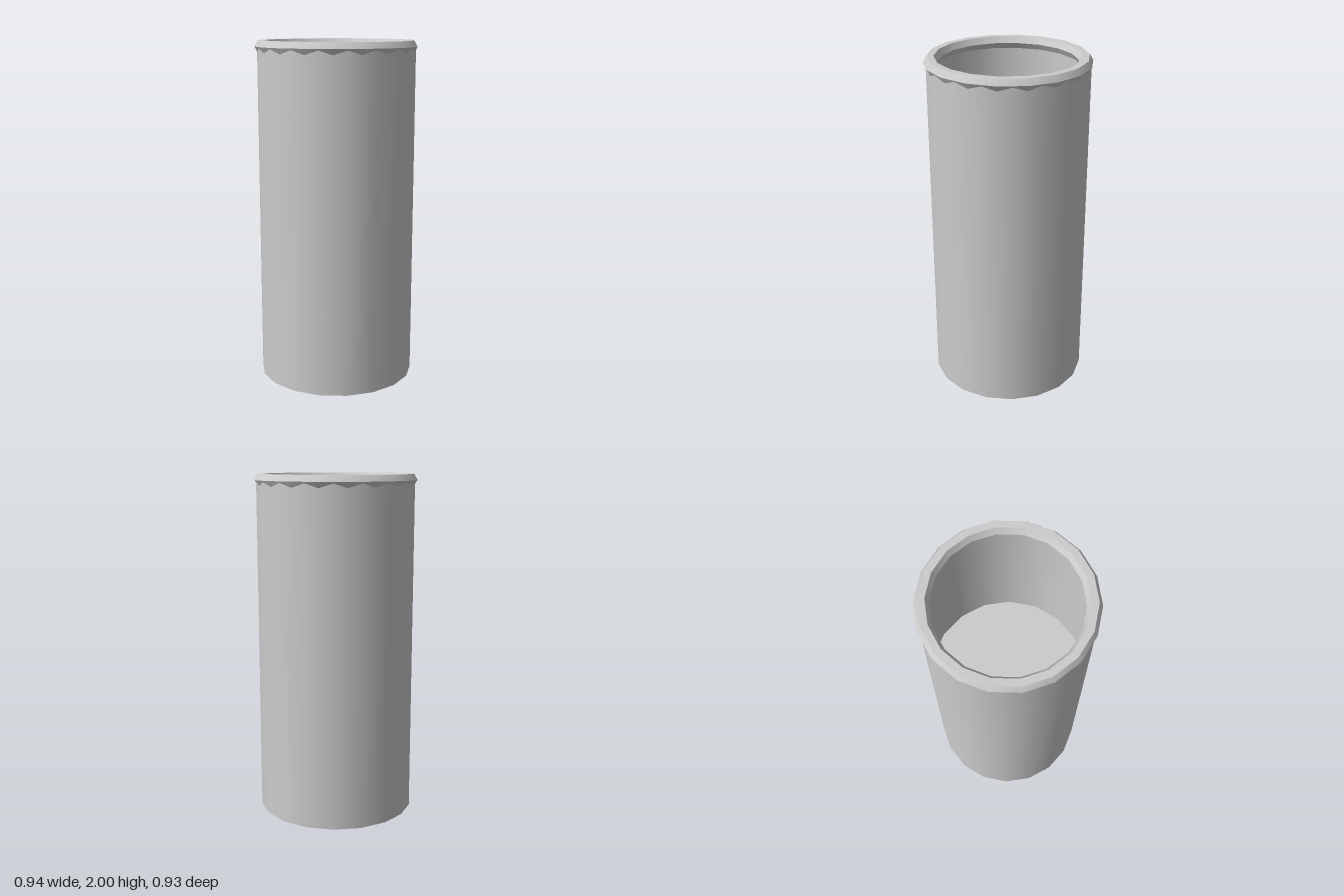
import * as THREE from 'three';
import { toCreasedNormals } from 'three/addons/utils/BufferGeometryUtils.js';

const SIDES = 18;
const HEIGHT = 2;
const WALL_RADIUS = 0.46;
const RIM_RADIUS = 0.432;
const RIM_TUBE = 0.04;

export function createModel() {
  const group = new THREE.Group();
  group.name = 'openCylinder';

  const grey = new THREE.MeshStandardMaterial({ color: 0xcccccc, side: THREE.DoubleSide });
  grey.name = 'light grey';

  const add = (name, geometry) => {
    const mesh = new THREE.Mesh(geometry, grey);
    mesh.name = name;
    group.add(mesh);
  };

  // thin smooth wall, open at both ends, ending inside the rim
  const rimY = HEIGHT - RIM_TUBE * Math.sin(Math.PI / 3);
  const wall = new THREE.CylinderGeometry(WALL_RADIUS, WALL_RADIUS, rimY, SIDES, 1, true);
  wall.translate(0, rimY / 2, 0);
  add('wall', wall);

  // hexagonal ring around the mouth: smooth around, sharp along its six edges
  const rim = new THREE.TorusGeometry(RIM_RADIUS, RIM_TUBE, 6, SIDES);
  rim.rotateX(Math.PI / 2);
  rim.translate(0, rimY, 0);
  add('rim', toCreasedNormals(rim, Math.PI / 6));

  // flat disc closing the cylinder halfway up
  const disc = new THREE.CircleGeometry(WALL_RADIUS, SIDES);
  disc.rotateX(-Math.PI / 2);
  disc.rotateY(Math.PI / 2);
  disc.translate(0, rimY / 2, 0);
  add('innerDisc', disc);

  return group;
}
